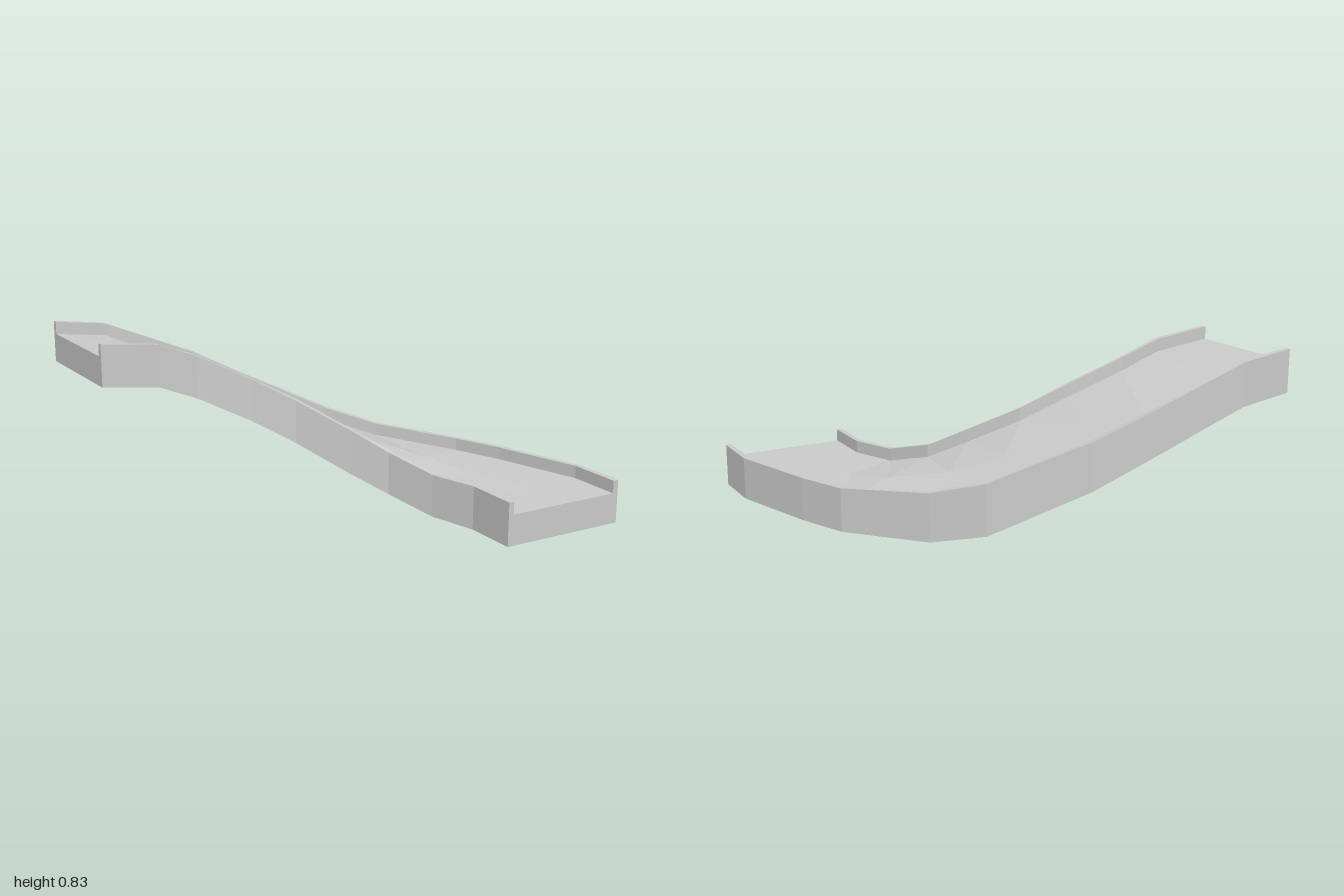
import * as THREE from 'three';

const RIM = 0.027;   // wall thickness
const DEPTH = 0.06;  // floor below the rim

// Stations along the bend: outer [x, z, top, bottom], inner [x, z, top, bottom]
const STATIONS = [
  [[-1, -0.922, 0.83, 0.63], [-1, -0.3, 0.83, 0.63]],
  [[-0.75, -0.922, 0.797, 0.595], [-0.72, -0.3, 0.797, 0.595]],
  [[-0.3, -0.865, 0.615, 0.405], [-0.535, -0.293, 0.725, 0.52]],
  [[-0.07, -0.77, 0.495, 0.27], [-0.3, -0.195, 0.605, 0.4]],
  [[0.325, -0.545, 0.305, 0.065], [-0.11, -0.105, 0.495, 0.285]],
  [[0.51, -0.36, 0.24, 0.012], [0.075, 0.08, 0.37, 0.155]],
  [[0.78, -0.01, 0.207, 0], [0.205, 0.225, 0.275, 0.07]],
  [[0.872, 0.22, 0.206, 0], [0.3, 0.45, 0.212, 0.01]],
  [[1, 0.66, 0.206, 0], [0.375, 0.665, 0.206, 0]],
  [[1, 0.922, 0.206, 0], [0.375, 0.922, 0.206, 0]],
];

// Edge points of one side: bottom, top, inner lip of the rim, floor edge
function edge([x, z, top, bottom], [px, pz]) {
  const len = Math.hypot(px - x, pz - z);
  const ix = x + (px - x) / len * RIM;
  const iz = z + (pz - z) / len * RIM;
  return [
    new THREE.Vector3(x, bottom, z),
    new THREE.Vector3(x, top, z),
    new THREE.Vector3(ix, top, iz),
    new THREE.Vector3(ix, top - DEPTH, iz),
  ];
}

// Flat-shaded mesh from a list of four-cornered faces
function quadMesh(name, quads, material) {
  const points = quads.flatMap(([a, b, c, d]) => [a, b, c, a, c, d]);
  const geometry = new THREE.BufferGeometry().setFromPoints(points);
  geometry.computeVertexNormals();
  const mesh = new THREE.Mesh(geometry, material);
  mesh.name = name;
  return mesh;
}

// Ribbon between consecutive rows of points
function ribbon(rows, flip) {
  const quads = [];
  for (let i = 0; i < rows.length - 1; i++) {
    for (let j = 0; j < rows[i].length - 1; j++) {
      const q = [rows[i][j], rows[i + 1][j], rows[i + 1][j + 1], rows[i][j + 1]];
      quads.push(flip ? q.reverse() : q);
    }
  }
  return quads;
}

// Closing faces at one end of the track
function endFaces(o, n, flip) {
  const quads = [
    [o[0], o[1], o[2], o[3]],
    [o[0], o[3], n[3], n[0]],
    [n[0], n[3], n[2], n[1]],
  ];
  return flip ? quads.map((q) => q.reverse()) : quads;
}

export function createModel() {
  const group = new THREE.Group();
  group.name = 'curvedSlide';
  const material = new THREE.MeshStandardMaterial({
    color: 0xcccccc, flatShading: true, side: THREE.DoubleSide,
  });

  const outer = STATIONS.map(([o, n]) => edge(o, n));
  const inner = STATIONS.map(([o, n]) => edge(n, o));

  // Floor runs between the walls with a centre line; its underside is open
  const floorRows = outer.map((o, i) => {
    const middle = o[3].clone().lerp(inner[i][3], 0.5);
    return [o[3], middle, inner[i][3]];
  });

  const last = STATIONS.length - 1;
  group.add(
    quadMesh('outerWall', ribbon(outer, true).map((q) => q.reverse()), material),
    quadMesh('innerWall', ribbon(inner, true), material),
    quadMesh('floor', ribbon(floorRows, false).map((q) => q), material),
    quadMesh('upperEnd', endFaces(outer[0], inner[0], false), material),
    quadMesh('lowerEnd', endFaces(outer[last], inner[last], true), material),
  );
  return group;
}
